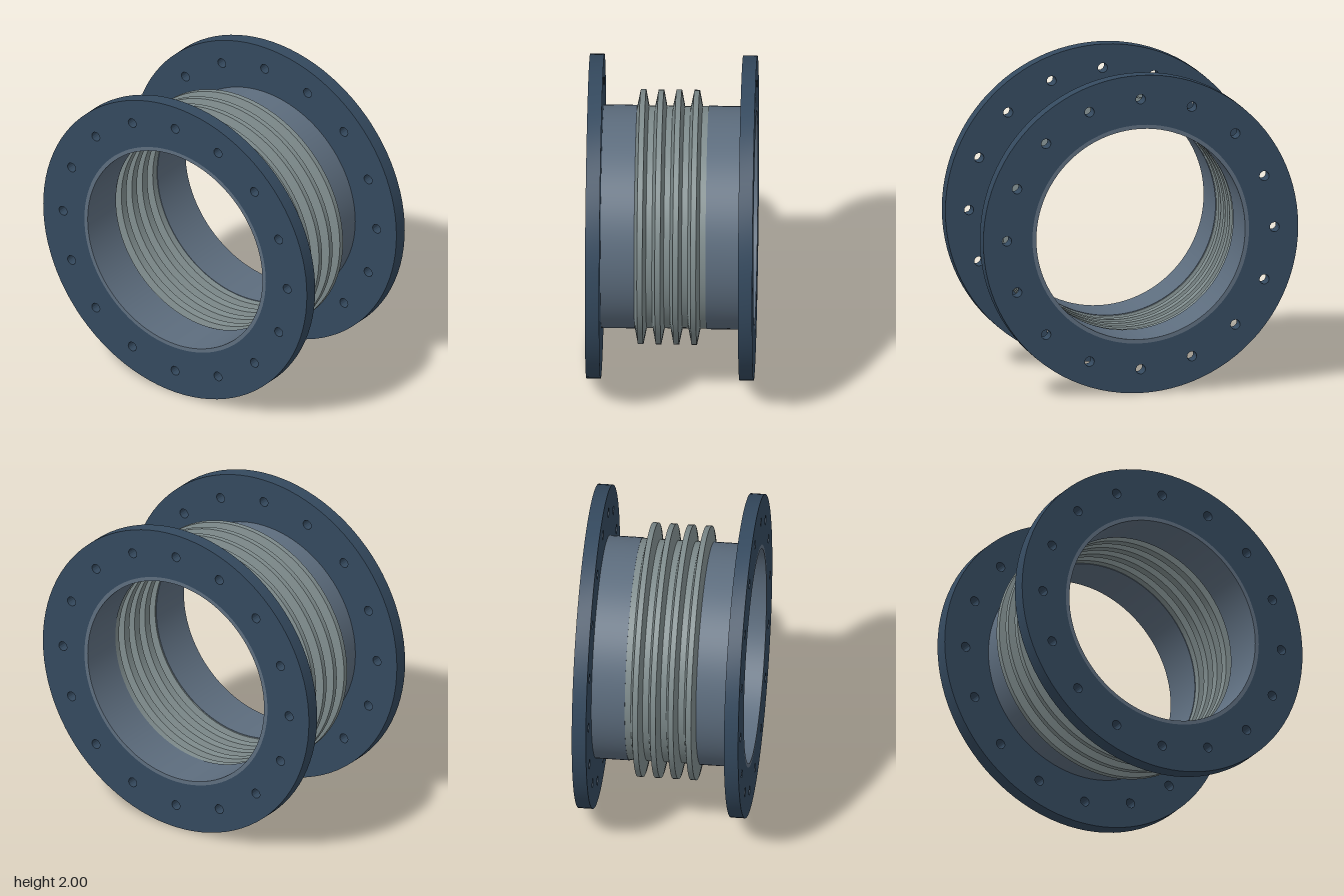
import * as THREE from 'three';
import { mergeGeometries, toCreasedNormals } from 'three/addons/utils/BufferGeometryUtils.js';

const SEGMENTS = 96;
const flangeMat = new THREE.MeshStandardMaterial({ color: 0x34495e });
const pipeMat = new THREE.MeshStandardMaterial({ color: 0x5d6d7e });
const bellowsMat = new THREE.MeshStandardMaterial({ color: 0x7f8c8d });

// Revolves a closed counter-clockwise loop of [radius, x] about the x axis,
// one band per edge so that every profile corner stays sharp.
function revolve(loop) {
  const bands = loop.map((p, i) => {
    const q = loop[(i + 1) % loop.length];
    return new THREE.LatheGeometry([new THREE.Vector2(...p), new THREE.Vector2(...q)], SEGMENTS);
  });
  return mergeGeometries(bands).rotateZ(-Math.PI / 2);
}

// Flat ring with a circle of bolt holes, extruded along x
function flangeGeometry(x0, x1) {
  const shape = new THREE.Shape().absarc(0, 0, 1, 0, Math.PI * 2, false);
  const addHole = (x, y, r) => shape.holes.push(new THREE.Path().absarc(x, y, r, 0, Math.PI * 2, true));
  addHole(0, 0, 0.688);
  for (let i = 0; i < 16; i++) {
    const a = (i * Math.PI) / 8;
    addHole(0.85 * Math.cos(a), 0.85 * Math.sin(a), 0.03);
  }
  const geo = new THREE.ExtrudeGeometry(shape, { depth: x1 - x0, bevelEnabled: false, curveSegments: SEGMENTS / 2 });
  return toCreasedNormals(geo.translate(0, 0, x0).rotateY(Math.PI / 2), 0.6);
}

// Thin corrugated wall: four trapezoid convolutions between the pipe ends
function bellowsGeometry() {
  const outer = [], inner = [];
  for (let i = 0; i < 4; i++) {
    const x = -0.22 + i * 0.11;
    outer.push([0.685, x], [0.785, x + 0.02], [0.785, x + 0.053], [0.685, x + 0.073]);
    inner.push([0.667, x + 0.008], [0.767, x + 0.028], [0.767, x + 0.045], [0.667, x + 0.065]);
  }
  outer.push([0.685, 0.22]);
  inner.push([0.667, 0.22]);
  inner.unshift([0.667, -0.22]);
  return revolve([...outer, ...inner.reverse()]);
}

export function createModel() {
  const model = new THREE.Group();
  model.name = 'expansionJoint';
  const add = (name, geo, mat) => {
    const mesh = new THREE.Mesh(geo, mat);
    mesh.name = name;
    mesh.position.y = 1;
    model.add(mesh);
  };

  // One flange and one pipe stub at each end
  for (const [side, s] of [['left', 1], ['right', -1]]) {
    const span = (a, b) => (s > 0 ? [a, b] : [-b, -a]);
    add(side + 'Flange', flangeGeometry(...span(0.427, 0.515)), flangeMat);
    const [x0, x1] = span(0.22, 0.515);
    add(side + 'Pipe', revolve([[0.663, x0], [0.688, x0], [0.688, x1], [0.663, x1]]), pipeMat);
  }

  add('bellows', bellowsGeometry(), bellowsMat);
  return model;
}
